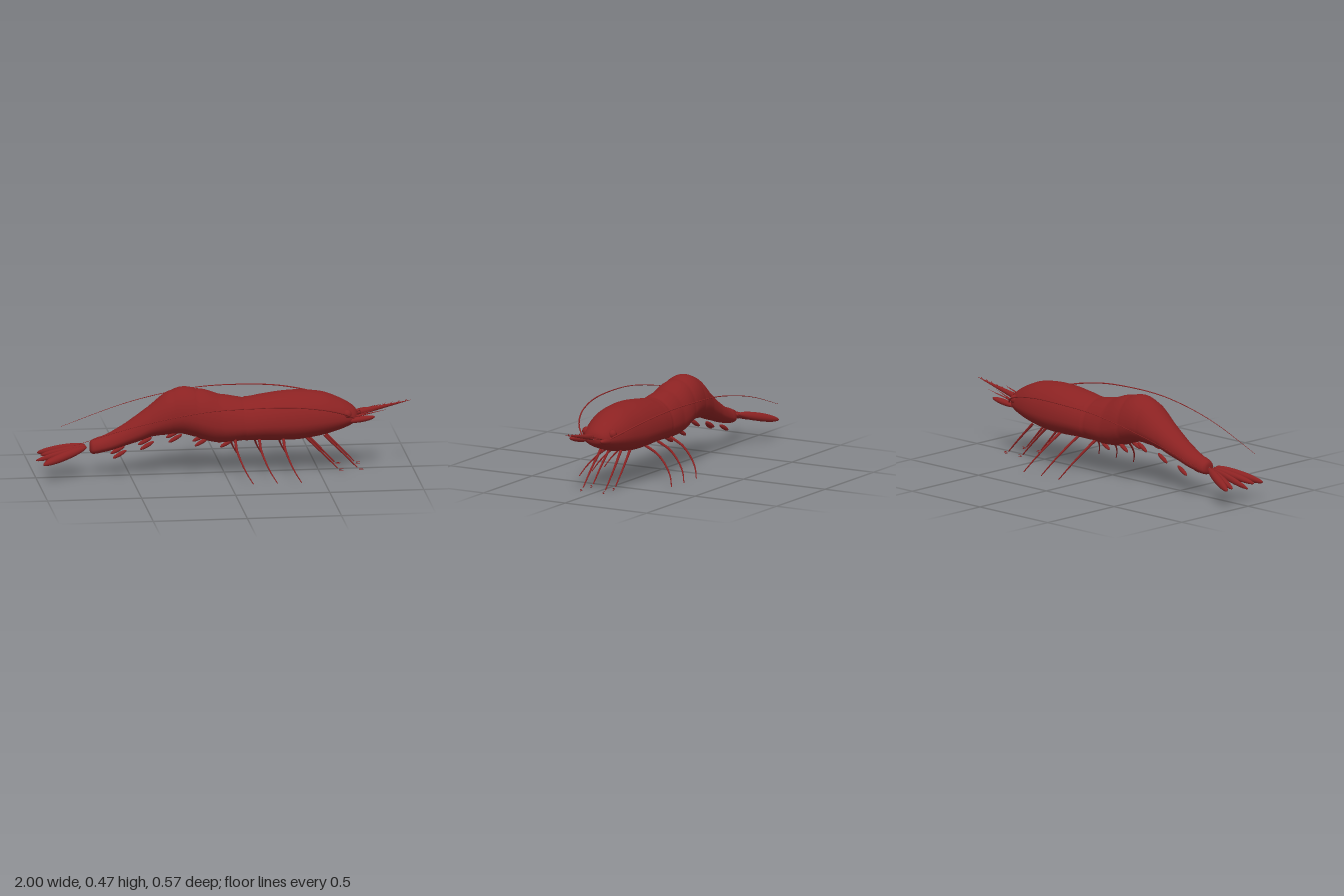
import * as THREE from 'three';

const V = (p, side = 1) => new THREE.Vector3(p[0], p[1], p[2] * side);
const X = new THREE.Vector3(1, 0, 0);
const Y = new THREE.Vector3(0, 1, 0);

export function createModel() {
  const shell = new THREE.MeshStandardMaterial({ color: 0x8b2222 });
  shell.name = 'darkRedShell';
  const model = new THREE.Group();
  model.name = 'shrimp';

  const add = (name, geometry) => {
    const mesh = new THREE.Mesh(geometry, shell);
    mesh.name = name;
    model.add(mesh);
    return mesh;
  };

  // Ellipsoid stretched between two points
  const blob = (name, from, to, ry, rz) => {
    const mesh = add(name, new THREE.SphereGeometry(1, 20, 14));
    const d = to.clone().sub(from);
    mesh.position.copy(from).addScaledVector(d, 0.5);
    mesh.scale.set(d.length() / 2, ry, rz);
    mesh.quaternion.setFromUnitVectors(X, d.normalize());
    return mesh;
  };

  // Pointed cone between two points
  const spike = (name, from, to, r, flat = 1) => {
    const d = to.clone().sub(from);
    const mesh = add(name, new THREE.ConeGeometry(r, d.length(), 14));
    mesh.position.copy(from).addScaledVector(d, 0.5);
    mesh.quaternion.setFromUnitVectors(Y, d.normalize());
    mesh.scale.z = flat;
    return mesh;
  };

  // Tapering tube along a smooth path
  const limb = (name, points, r, tip, segments = 24) => {
    const path = new THREE.CatmullRomCurve3(points);
    const sides = 8;
    const geo = new THREE.TubeGeometry(path, segments, r, sides);
    const pos = geo.attributes.position;
    const p = new THREE.Vector3();
    for (let i = 0; i <= segments; i++) {
      const c = path.getPointAt(i / segments);
      const k = 1 + (tip / r - 1) * (i / segments);
      for (let j = 0; j <= sides; j++) {
        const n = i * (sides + 1) + j;
        p.fromBufferAttribute(pos, n).sub(c).multiplyScalar(k).add(c);
        pos.setXYZ(n, p.x, p.y, p.z);
      }
    }
    return add(name, geo);
  };

  // Body profile: x, top, bottom, half width
  const profile = [
    [-0.715, 0.166, 0.160, 0.002], [-0.71, 0.192, 0.132, 0.032], [-0.685, 0.207, 0.126, 0.047],
    [-0.60, 0.240, 0.143, 0.056], [-0.47, 0.322, 0.183, 0.073], [-0.38, 0.390, 0.212, 0.090],
    [-0.30, 0.450, 0.220, 0.106], [-0.22, 0.474, 0.222, 0.116], [-0.12, 0.459, 0.190, 0.125],
    [-0.03, 0.432, 0.170, 0.127], [0.10, 0.408, 0.177, 0.132], [0.20, 0.420, 0.178, 0.141],
    [0.30, 0.433, 0.175, 0.145], [0.40, 0.437, 0.177, 0.143], [0.52, 0.424, 0.196, 0.130],
    [0.61, 0.390, 0.221, 0.107], [0.67, 0.356, 0.245, 0.080], [0.70, 0.327, 0.265, 0.050],
    [0.71, 0.293, 0.289, 0.002],
  ];
  const curve = (k) => new THREE.SplineCurve(profile.map((p) => new THREE.Vector2(p[0], p[k])));
  const [top, bottom, width] = [curve(1), curve(2), curve(3)];
  const rings = 180, around = 48, verts = [], faces = [];
  for (let i = 0; i <= rings; i++) {
    const t = i / rings;
    const x = top.getPoint(t).x;
    // Shallow grooves between the abdomen segments
    const inAbdomen = x > -0.66 && x < 0.11;
    const groove = inAbdomen ? 0.035 * (1 - Math.sqrt(Math.abs(Math.sin(((x - 0.1) / 0.125) * Math.PI)))) : 0;
    const yt = top.getPoint(t).y, yb = bottom.getPoint(t).y;
    const mid = yb + (yt - yb) * 0.4;
    for (let j = 0; j < around; j++) {
      const a = (j / around) * Math.PI * 2;
      const s = Math.sin(a), k = 1 - groove;
      verts.push(x, mid + s * (s > 0 ? yt - mid : mid - yb) * k, Math.cos(a) * width.getPoint(t).y * k);
      if (i < rings) {
        const p = i * around + j, q = i * around + ((j + 1) % around);
        faces.push(p, p + around, q, q, p + around, q + around);
      }
    }
  }
  const bodyGeo = new THREE.BufferGeometry();
  bodyGeo.setAttribute('position', new THREE.Float32BufferAttribute(verts, 3));
  bodyGeo.setIndex(faces);
  bodyGeo.computeVertexNormals();
  add('body', bodyGeo);

  // Rostrum with a row of small teeth
  const base = V([0.725, 0.308, 0]), point = V([1, 0.366, 0]);
  spike('rostrum', base, point, 0.017, 0.85);
  for (let i = 0; i < 5; i++) {
    const f = 0.3 + i * 0.14;
    const root = base.clone().lerp(point, f);
    root.y += 0.014 * (1 - f);
    spike('rostrumTooth', root, root.clone().add(V([0.012, 0.012, 0])), 0.003);
  }

  // Tail fan centre
  blob('telson', V([-0.73, 0.162, 0]), V([-1, 0.096, 0]), 0.017, 0.012);

  for (const side of [1, -1]) {
    const v = (x, y, z) => V([x, y, z], side);
    const label = side < 0 ? 'left' : 'right';

    // Head parts
    const eye = add(label + 'Eye', new THREE.SphereGeometry(0.023, 20, 14));
    eye.position.copy(v(0.645, 0.318, 0.08));
    blob(label + 'AntennaScale', v(0.65, 0.274, 0.066), v(0.79, 0.303, 0.096), 0.016, 0.018);
    spike(label + 'OuterAntennule', v(0.69, 0.295, 0.05), v(0.865, 0.335, 0.065), 0.005);
    spike(label + 'InnerAntennule', v(0.69, 0.295, 0.047), v(0.82, 0.335, 0.04), 0.005);
    limb(label + 'Antenna', [
      v(0.68, 0.297, 0.085), v(0.62, 0.333, 0.14), v(0.51, 0.372, 0.195), v(0.33, 0.403, 0.24),
      v(0.13, 0.410, 0.264), v(-0.10, 0.402, 0.270), v(-0.31, 0.370, 0.267),
      v(-0.52, 0.322, 0.253), v(-0.84, 0.222, 0.216),
    ], 0.0042, 0.0008, 70);

    // Long bowed walking legs
    for (let i = 0; i < 3; i++) {
      const x = 0.05 + i * 0.128;
      limb(label + 'WalkingLeg', [
        v(x, 0.195, 0.08), v(x, 0.155, 0.155), v(x + 0.018, 0.102, 0.217),
        v(x + 0.042, 0.052, 0.258), v(x + 0.072, 0.004, 0.283),
      ], 0.008, 0.0025);
    }

    // Straight front legs with tiny pincers
    for (let i = 0; i < 2; i++) {
      const x = 0.43 + i * 0.105;
      limb(label + 'FrontLeg', [v(x - 0.01, 0.205, 0.06), v(x + 0.09, 0.102, 0.067), v(x + 0.165, 0.023, 0.068)], 0.008, 0.003);
      for (const dy of [-0.003, 0.003]) {
        blob(label + 'Pincer', v(x + 0.172, 0.014 + dy, 0.069), v(x + 0.197, 0.014 + dy * 1.5, 0.069), 0.002, 0.002);
      }
    }

    // Swimmerets under the abdomen
    [[-0.56, 0.129], [-0.415, 0.172], [-0.265, 0.206], [-0.125, 0.182], [0.01, 0.172]].forEach(([x, y]) => {
      blob(label + 'Swimmeret', v(x - 0.037, y - 0.02, 0.05), v(x + 0.037, y + 0.02, 0.043), 0.011, 0.011);
    });

    // Tail fan blades
    blob(label + 'OuterTailBlade', v(-0.735, 0.168, 0.028), v(-0.978, 0.104, 0.135), 0.021, 0.023);
    blob(label + 'InnerTailBlade', v(-0.73, 0.164, 0.015), v(-0.965, 0.104, 0.082), 0.018, 0.018);
  }
  return model;
}
